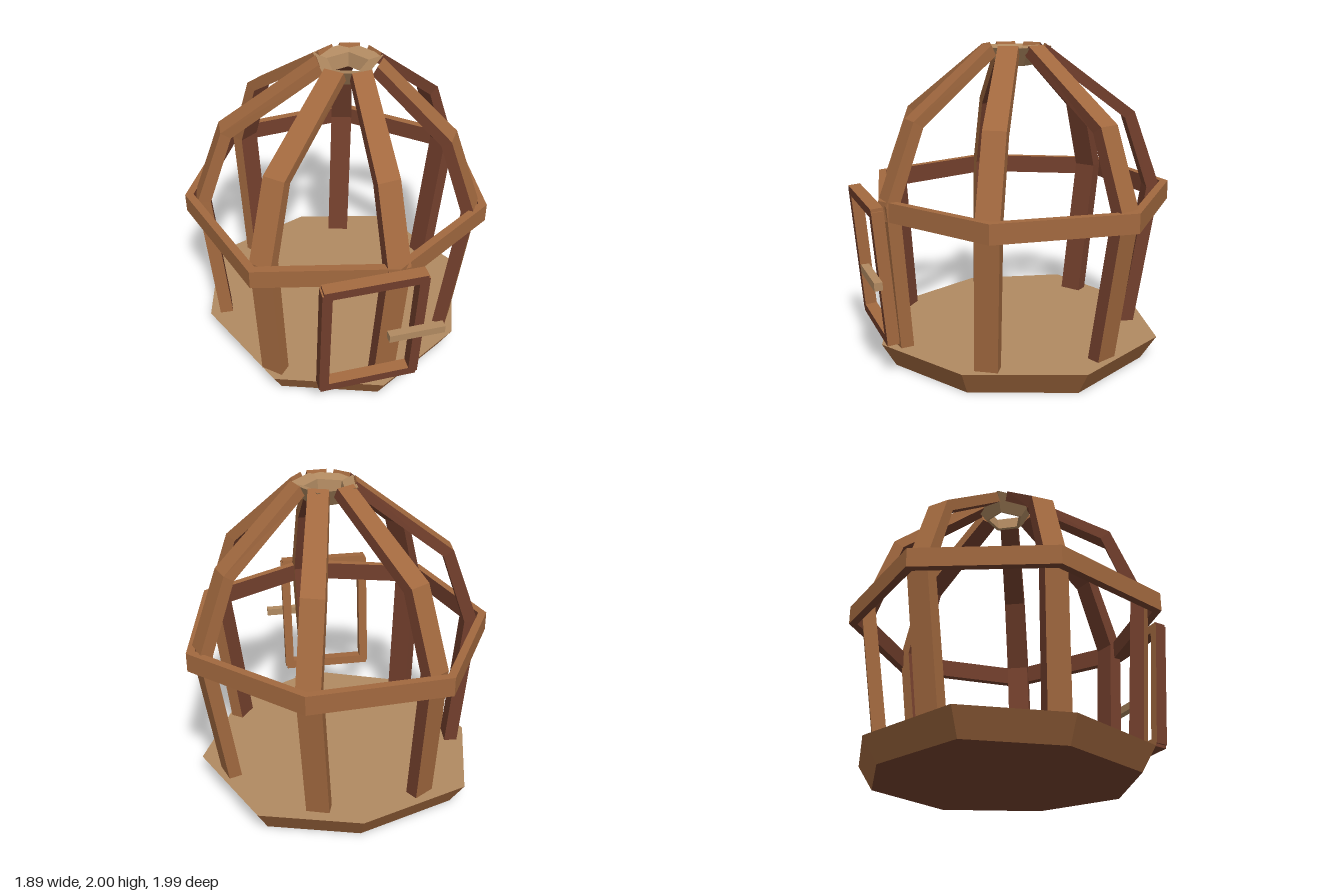
import * as THREE from 'three';

const makeMat = (name, color) => {
  const m = new THREE.MeshStandardMaterial({ color });
  m.name = name;
  return m;
};

export function createModel() {
  const model = new THREE.Group();
  const brown = makeMat('brown wood', 0xa2693f);
  const red = makeMat('dark reddish wood', 0x74402d);
  const tan = makeMat('tan wood', 0xb18a61);
  const mats = [brown, red, tan];
  const BROWN = 0, RED = 1, TAN = 2;

  // Skins a row of matching cross-sections with flat faces; faceMat(k) colours side k.
  function loft(name, sections, faceMat, { closed = false, startCap, endCap } = {}) {
    const pos = [[], [], []];
    const fan = (m, pts) => {
      for (let i = 1; i < pts.length - 1; i++) pos[m].push(...pts[0], ...pts[i], ...pts[i + 1]);
    };
    const n = sections[0].length;
    const spans = closed ? sections.length : sections.length - 1;
    for (let i = 0; i < spans; i++) {
      const s = sections[i], e = sections[(i + 1) % sections.length];
      for (let k = 0; k < n; k++) {
        const j = (k + 1) % n;
        fan(faceMat(k), [s[j], s[k], e[k], e[j]]);
      }
    }
    if (!closed) {
      fan(startCap, sections[0]);
      fan(endCap, [...sections[sections.length - 1]].reverse());
    }
    const g = new THREE.BufferGeometry();
    g.setAttribute('position', new THREE.Float32BufferAttribute(pos.flat(), 3));
    let start = 0;
    pos.forEach((p, m) => {
      if (p.length) g.addGroup(start, p.length / 3, m);
      start += p.length / 3;
    });
    g.computeVertexNormals();
    const mesh = new THREE.Mesh(g, mats);
    mesh.name = name;
    model.add(mesh);
  }
  // Outer and top sides are brown, inner and under sides reddish
  const barMat = k => [BROWN, RED, RED, BROWN][k];

  // Octagonal base, flaring upwards, with a tan floor
  const rim = [[0.10, 0.89], [-0.56, 0.68], [-0.88, 0], [-0.74, -0.65],
    [-0.06, -0.93], [0.57, -0.79], [0.92, -0.15], [0.67, 0.54]];
  loft('base', [[0.9, 0], [1, 0.155]].map(([s, y]) => rim.map(([x, z]) => [x * s, y, z * s])),
    () => BROWN, { startCap: RED, endCap: TAN });

  // Seven bent ribs: foot, hoop, shoulder, top
  const ribs = [[0.26, -0.92], [0.89, -0.41], [0.80, 0.42], [0.17, 0.87],
    [-0.60, 0.66], [-0.88, -0.10], [-0.50, -0.80]];
  for (const [px, pz] of ribs) {
    const vx = px - 0.03, vz = pz + 0.06;
    const len = Math.hypot(vx, vz), dx = vx / len, dz = vz / len;
    // x, y, z of outer face centre, half width, inward depth, drop of inner face
    const stations = [
      [vx * 0.89, 0.15, vz * 0.89 - 0.03, 0.072, 0.085, 0],
      [px, 1.08, pz, 0.072, 0.085, 0],
      [0.03 + vx * 0.8, 1.57, -0.06 + vz * 0.8, 0.07, 0.06, 0.04],
      [0.08 + dx * 0.19, 1.995, dz * 0.19, 0.062, 0.03, 0.06],
    ];
    loft('rib', stations.map(([x, y, z, w, depth, drop]) => {
      const corner = (side, inward) => [
        x - dz * side * w - dx * inward * depth,
        y - inward * drop,
        z + dx * side * w - dz * inward * depth];
      return [corner(-1, 0), corner(1, 0), corner(1, 1), corner(-1, 1)];
    }), barMat, { startCap: RED, endCap: BROWN });
  }

  // Seven-sided hoop around the ribs
  const hoop = [[0.28, -0.99], [0.94, -0.44], [0.86, 0.43], [0.17, 0.89],
    [-0.67, 0.72], [-0.95, -0.10], [-0.57, -0.88]];
  loft('hoop', hoop.map(([x, z]) => {
    const ix = x * 0.945, iz = -0.06 + (z + 0.06) * 0.945;
    return [[x, 1.105, z], [x, 0.985, z], [ix, 0.985, iz], [ix, 1.105, iz]];
  }), barMat, { closed: true });

  // Five-sided collar holding the rib tops
  const profile = [[0.22, 1.98], [0.13, 1.87], [0.11, 1.875], [0.13, 1.96]];
  const collar = [];
  for (let i = 0; i < 5; i++) {
    const a = i * Math.PI * 2 / 5;
    collar.push(profile.map(([r, y]) => [0.07 + r * Math.cos(a), y, -0.01 + r * Math.sin(a)]));
  }
  loft('crownCollar', collar, () => TAN, { closed: true });

  // Leaning door frame; box sides in order +x, -x, +y, -y, +z, -z
  const door = new THREE.Group();
  door.name = 'door';
  const doorMats = [brown, red, brown, red, red, brown];
  const addBar = (name, w, h, x, y) => {
    const bar = new THREE.Mesh(new THREE.BoxGeometry(w, h, 0.075), doorMats);
    bar.name = name;
    bar.position.set(x, y, 0);
    door.add(bar);
  };
  for (const s of [-1, 1]) {
    addBar('doorPost', 0.06, 0.83, s * 0.285, 0);
    addBar('doorRail', 0.61, 0.06, 0, s * 0.405);
  }
  door.position.set(0, 0.668, 0.905);
  door.rotation.set(0.085, 0.04, -0.015);
  model.add(door);

  // Latch across the door edge
  const latch = new THREE.Mesh(new THREE.BoxGeometry(0.345, 0.05, 0.05), tan);
  latch.name = 'latch';
  latch.position.set(0.26, 0.667, 0.965);
  latch.rotation.set(0, 0.04, -0.015);
  model.add(latch);

  return model;
}
